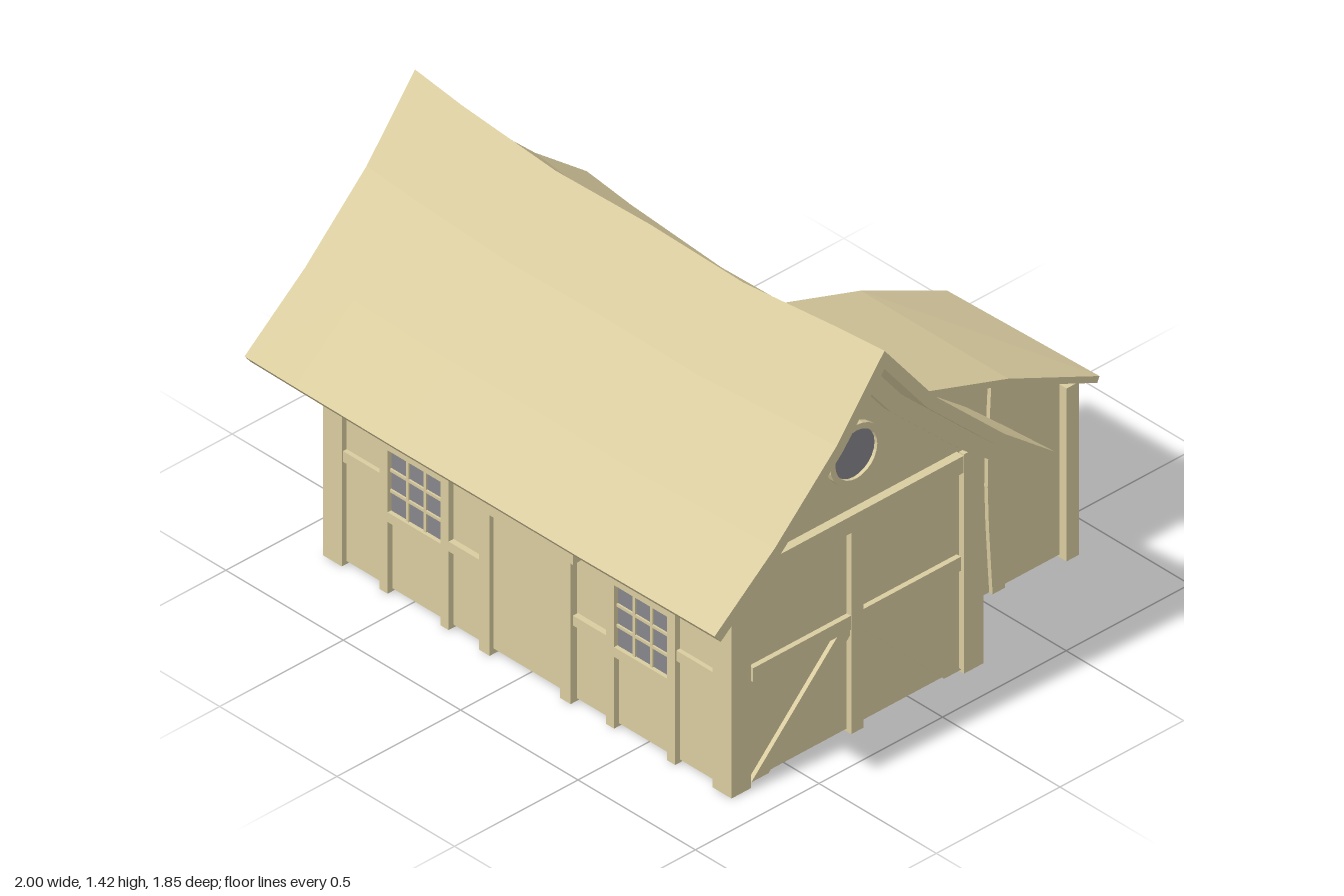
import * as THREE from 'three';

const plaster = new THREE.MeshStandardMaterial({ color: 0xd9cc9f, flatShading: true, side: THREE.DoubleSide });
const glass = new THREE.MeshStandardMaterial({ color: 0x86868c, side: THREE.DoubleSide });

function add(parent, name, geometry, material = plaster) {
  const mesh = new THREE.Mesh(geometry, material);
  mesh.name = name;
  parent.add(mesh);
  return mesh;
}

// Wall group: local x runs along the wall, local z points outwards
function wallGroup(parent, name, x, z, turn) {
  const g = new THREE.Group();
  g.name = name;
  g.position.set(x, 0, z);
  g.rotation.y = turn;
  parent.add(g);
  return g;
}

function panel(g, pts) {
  add(g, 'wallPanel', new THREE.ShapeGeometry(new THREE.Shape(pts.map(p => new THREE.Vector2(...p)))));
}

// Upright or level timber given by its edges on the wall
function timber(g, name, u0, u1, v0, v1, depth = 0.04) {
  add(g, name, new THREE.BoxGeometry(u1 - u0, v1 - v0, depth)).position.set((u0 + u1) / 2, (v0 + v1) / 2, 0);
}

// Sloping or bowed timber along centre points, cut level at both ends
function brace(g, name, pts, width, depth = 0.03) {
  const line = new THREE.SplineCurve(pts.map(p => new THREE.Vector2(...p))).getPoints(pts.length > 2 ? 6 : 1);
  const side = s => line.map(p => new THREE.Vector2(p.x + s * width / 2, p.y));
  const shape = new THREE.Shape([...side(1), ...side(-1).reverse()]);
  add(g, name, new THREE.ExtrudeGeometry(shape, { depth, bevelEnabled: false })).position.z = -depth / 2;
}

function gridWindow(g, u0, u1, v0, v1, cols, rows) {
  const w = u1 - u0, h = v1 - v0;
  add(g, 'windowGlass', new THREE.BoxGeometry(w, h, 0.012), glass).position.set((u0 + u1) / 2, (v0 + v1) / 2, 0);
  for (let i = 1; i < cols; i++) timber(g, 'glazingBar', u0 + w * i / cols - 0.005, u0 + w * i / cols + 0.005, v0, v1, 0.024);
  for (let i = 1; i < rows; i++) timber(g, 'glazingBar', u0, u1, v0 + h * i / rows - 0.005, v0 + h * i / rows + 0.005, 0.024);
}

// Shift a [z, y] polyline along its mitred normals
function offset(pts, d) {
  const normal = (a, b) => new THREE.Vector2(b[1] - a[1], a[0] - b[0]).normalize();
  return pts.map((p, i) => {
    const a = normal(pts[Math.max(i - 1, 0)], pts[Math.max(i, 1)]);
    const b = normal(pts[Math.min(i, pts.length - 2)], pts[Math.min(i + 1, pts.length - 1)]);
    const m = a.clone().add(b).normalize();
    const k = d / m.dot(a);
    return [p[0] + m.x * k, p[1] + m.y * k];
  });
}

// Slab between two [z, y] polylines, carried along the x stations and warped
function slab(parent, name, top, bottom, xs, warp) {
  const loop = [...top, ...[...bottom].reverse()];
  const n = loop.length, pos = [], index = [];
  xs.forEach(x => loop.forEach(([z, y]) => pos.push(...warp(x, y, z))));
  for (let i = 0; i < xs.length - 1; i++) {
    for (let j = 0; j < n; j++) {
      const k = (j + 1) % n, a = i * n + j, b = i * n + k, c = b + n, d = a + n;
      index.push(a, d, c, a, c, b);
    }
  }
  const e = (xs.length - 1) * n;
  for (let k = 0; k < top.length - 1; k++) {
    const [a, b, c, d] = [k, k + 1, n - 2 - k, n - 1 - k];
    index.push(a, b, c, a, c, d, e + a, e + c, e + b, e + a, e + d, e + c);
  }
  const geo = new THREE.BufferGeometry();
  geo.setAttribute('position', new THREE.Float32BufferAttribute(pos, 3));
  geo.setIndex(index);
  const flat = geo.toNonIndexed();
  flat.computeVertexNormals();
  add(parent, name, flat);
}

// Sagging of the main roof along its length
const stations = [-1, -0.8, -0.4, 0, 0.4, 0.8, 1];
const sagAt = [0, 0.45, 1, 0.85, 1, 0.35, 0.1];
function sag(x, y, z) {
  let i = 0;
  while (i < stations.length - 2 && x > stations[i + 1]) i++;
  const t = (x - stations[i]) / (stations[i + 1] - stations[i]);
  const s = THREE.MathUtils.lerp(sagAt[i], sagAt[i + 1], t);
  return [x, y - s * (0.03 + 0.045 * (y - 0.7)), z + (0.235 - z) * 0.037 * s];
}

export function createModel() {
  const house = new THREE.Group();
  house.name = 'cottage';

  // Main roof and the rafters on both gables
  const ridge = [[0.925, 0.725], [0.68, 0.925], [0.43, 1.17], [0.235, 1.42], [0.03, 1.16], [-0.25, 0.895], [-0.46, 0.73]];
  slab(house, 'mainRoof', ridge, offset(ridge, -0.04), stations, sag);
  const rafter = ridge.map(p => [...p]);
  rafter[0] = [0.9, 0.745];
  rafter[6] = [-0.435, 0.75];
  for (const x of [-0.84, 0.86])
    slab(house, 'gableRafter', offset(rafter, -0.04), offset(rafter, -0.1), [x - 0.03, x + 0.03], sag);

  // Corner posts
  for (const x of [-0.82, 0.84])
    for (const z of [0.7, -0.24])
      add(house, 'cornerPost', new THREE.BoxGeometry(0.08, 0.78, 0.08)).position.set(x, 0.39, z);

  // Front wall with door and two windows
  const front = wallGroup(house, 'frontWall', 0, 0.72, 0);
  panel(front, [[-0.84, 0.01], [0.86, 0.01], [0.86, 0.78], [-0.84, 0.78]]);
  for (const u of [-0.62, -0.36, 0.345, 0.605]) timber(front, 'post', u, u + 0.035, 0, 0.78);
  for (const u of [-0.585, 0.38]) {
    gridWindow(front, u + 0.002, u + 0.223, 0.29, 0.51, 3, 3);
    timber(front, 'windowSill', u, u + 0.225, 0.255, 0.29);
    timber(front, 'windowLintel', u, u + 0.225, 0.51, 0.55);
  }
  brace(front, 'rail', [[-0.7, 0.37], [-0.7, 0.408]], 0.16);
  brace(front, 'rail', [[0.72, 0.368], [0.72, 0.405]], 0.16);
  timber(front, 'rail', -0.325, -0.19, 0.28, 0.315);
  timber(front, 'rail', 0.205, 0.345, 0.28, 0.315);
  timber(front, 'doorPost', -0.19, -0.145, 0, 0.505, 0.05);
  timber(front, 'doorPost', 0.155, 0.2, 0, 0.505, 0.05);
  timber(front, 'doorLintel', -0.2, 0.215, 0.505, 0.555, 0.06);
  timber(front, 'door', -0.145, 0.155, 0.02, 0.505, 0.02);
  for (const u of [-0.1, 0.08]) timber(front, 'shortPost', u, u + 0.035, 0.555, 0.78);

  // Back wall with a window
  const back = wallGroup(house, 'backWall', 0, -0.26, Math.PI);
  panel(back, [[-0.86, 0.01], [0.84, 0.01], [0.84, 0.78], [-0.86, 0.78]]);
  for (const u of [0.165, 0.47, -0.72]) timber(back, 'post', u, u + 0.04, 0, 0.78);
  gridWindow(back, 0.205, 0.47, 0.29, 0.62, 2, 2);
  timber(back, 'windowSill', 0.205, 0.47, 0.25, 0.29);
  timber(back, 'windowLintel', 0.205, 0.47, 0.62, 0.66);
  timber(back, 'rail', 0.51, 0.78, 0.4, 0.44);

  // Gable walls
  const gable = [[0.72, 0.01], [0.72, 0.79], [0.65, 0.85], [0.42, 1.1], [0.235, 1.33], [0.05, 1.1], [-0.24, 0.83], [-0.26, 0.8], [-0.26, 0.01]];
  const right = wallGroup(house, 'rightGable', 0.86, 0, Math.PI / 2);
  const left = wallGroup(house, 'leftGable', -0.84, 0, -Math.PI / 2);
  for (const [g, s] of [[right, -1], [left, 1]]) {
    panel(g, gable.map(([z, y]) => [s * z, y]));
    const mid = s * 0.235;
    timber(g, 'tieBeam', mid - 0.425, mid + 0.425, 0.725, 0.785, 0.06);
    timber(g, 'kingPost', mid - 0.014, mid + 0.014, 1.25, 1.36);
    timber(g, 'collar', mid - 0.03, mid + 0.03, 1.29, 1.315);
  }

  // Right gable: cross timbers and the round window
  const mid = -0.23;
  timber(right, 'middlePost', mid - 0.025, mid + 0.025, 0, 0.725);
  timber(right, 'rail', mid - 0.42, mid + 0.42, 0.37, 0.42, 0.036);
  for (const s of [-1, 1]) brace(right, 'brace', [[mid + s * 0.39, 0.015], [mid + s * 0.04, 0.37]].sort((a, b) => a[1] - b[1]), 0.07);
  const pane = add(right, 'roundPane', new THREE.CylinderGeometry(0.088, 0.088, 0.016, 24), glass);
  pane.rotation.x = Math.PI / 2;
  pane.position.set(-0.235, 0.985, 0);
  const ringProfile = [[0.085, -0.02], [0.105, -0.02], [0.105, 0.02], [0.085, 0.02], [0.085, -0.02]];
  const ring = add(right, 'roundFrame', new THREE.LatheGeometry(ringProfile.map(p => new THREE.Vector2(...p)), 24));
  ring.rotation.x = Math.PI / 2;
  ring.position.copy(pane.position);

  // Left gable: posts and a square window
  for (const u of [0.05, 0.375]) timber(left, 'post', u, u + 0.045, 0, 0.725);
  gridWindow(left, 0.095, 0.375, 0.35, 0.68, 2, 2);
  timber(left, 'windowSill', 0.095, 0.375, 0.31, 0.35);
  timber(left, 'windowLintel', 0.095, 0.375, 0.68, 0.725);
  timber(left, 'rail', -0.2, 0.05, 0.37, 0.42);
  timber(left, 'rail', 0.42, 0.66, 0.37, 0.42);

  // Lean-to at the back
  const shed = [[-0.2, 0.905], [-0.56, 0.785], [-0.92, 0.62]];
  slab(house, 'leanToRoof', shed, offset(shed, -0.022), [0.06, 0.69], (x, y, z) => [x, y, z - (z < -0.8 ? (x - 0.375) * 0.03 : 0)]);
  for (const [name, x, s] of [['leanToRightWall', 0.635, -1], ['leanToLeftWall', 0.115, 1]]) {
    const g = wallGroup(house, name, x, 0, -s * Math.PI / 2);
    panel(g, [[-0.26, 0.01], [-0.26, 0.87], [-0.56, 0.765], [-0.86, 0.625], [-0.86, 0.01]].map(([z, y]) => [s * z, y]));
    brace(g, 'bowedPost', [[s * -0.56, 0.01], [s * -0.54, 0.4], [s * -0.555, 0.765]], 0.05);
    timber(g, 'wallPost', s * -0.29 - 0.015, s * -0.29 + 0.015, 0, 0.84);
    add(house, 'leanToCornerPost', new THREE.BoxGeometry(0.05, 0.615, 0.05)).position.set(x - s * 0.005, 0.3075, -0.845);
  }
  const end = wallGroup(house, 'leanToEndWall', 0, -0.86, Math.PI);
  panel(end, [[-0.635, 0.01], [-0.115, 0.01], [-0.115, 0.625], [-0.635, 0.625]]);
  brace(end, 'bowedBrace', [[-0.155, 0.02], [-0.41, 0.28], [-0.59, 0.61]], 0.06);

  return house;
}
